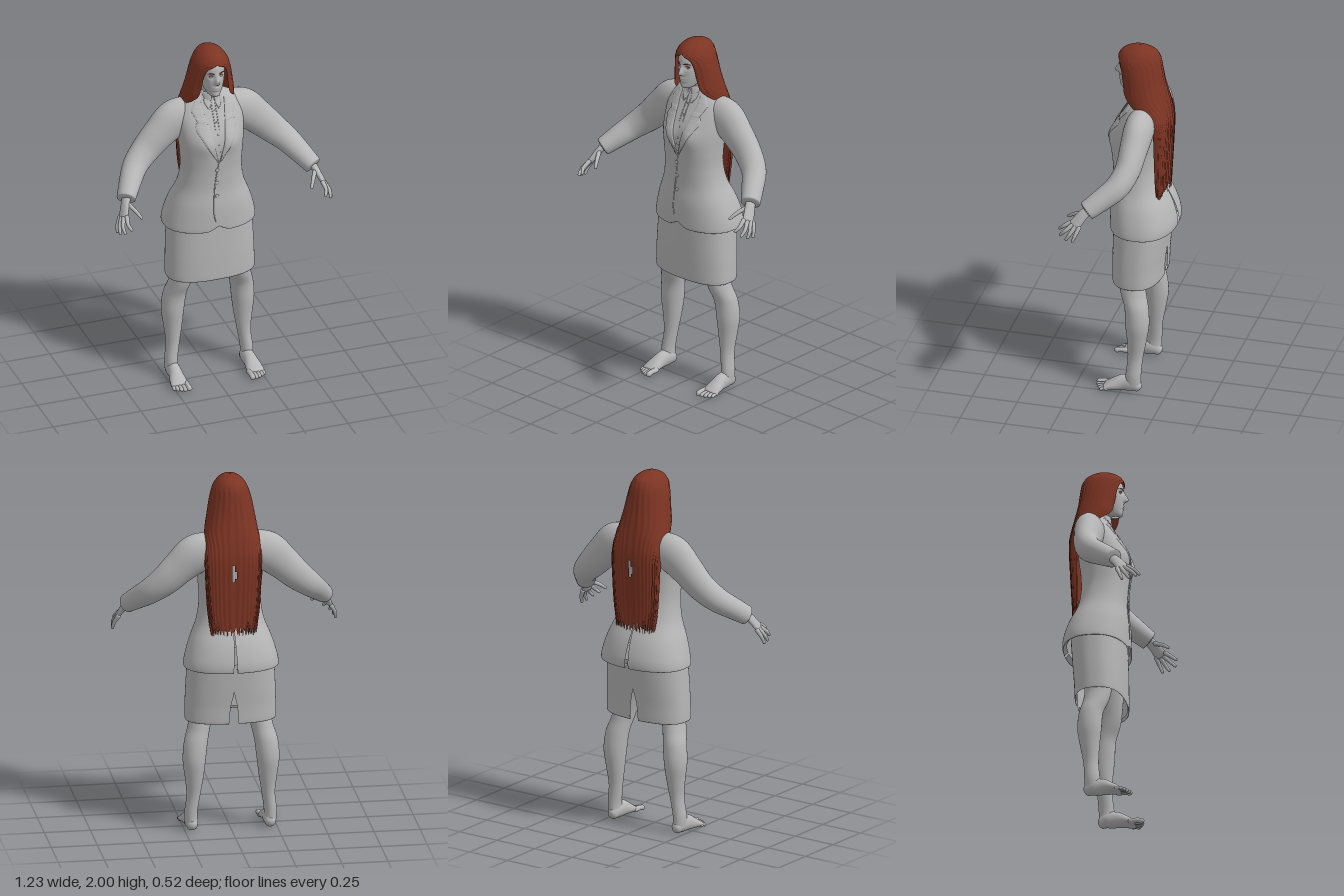
import * as THREE from 'three';
import { mergeVertices } from 'three/addons/utils/BufferGeometryUtils.js';

const V = (x, y, z) => new THREE.Vector3(x, y, z);
const gauss = (d, w) => Math.exp(-((d / w) ** 2));
const clamp = THREE.MathUtils.clamp;

const grey = new THREE.MeshStandardMaterial({ color: 0xb6b6b6, side: THREE.DoubleSide });
grey.name = 'plain grey';
const red = new THREE.MeshStandardMaterial({ color: 0x7d3423, side: THREE.DoubleSide });
red.name = 'auburn hair';

// Smooth surface through a grid of points
function grid(name, mat, rows, flip = false, skip = null) {
  const w = rows[0].length, index = [];
  for (let j = 0; j < rows.length - 1; j++) {
    for (let i = 0; i < w - 1; i++) {
      if (skip && skip(rows[j][i])) continue;
      const a = j * w + i, b = a + 1, c = a + w, d = c + 1;
      if (flip) index.push(a, c, b, b, c, d);
      else index.push(a, b, c, b, d, c);
    }
  }
  let g = new THREE.BufferGeometry().setFromPoints(rows.flat());
  g.setIndex(index);
  g = mergeVertices(g, 1e-5);
  g.computeVertexNormals();
  const mesh = new THREE.Mesh(g, mat);
  mesh.name = name;
  return mesh;
}

// Catmull-Rom blend of a table of section rows
function blend(rows, t) {
  const n = rows.length - 1, f = t * n, i = Math.min(Math.floor(f), n - 1), u = f - i;
  const at = k => rows[clamp(k, 0, n)];
  return rows[0].map((_, c) => {
    const [p, q, r, s] = [at(i - 1)[c], at(i)[c], at(i + 1)[c], at(i + 2)[c]];
    return q + 0.5 * u * (r - p + u * (2 * p - 5 * q + 4 * r - s + u * (3 * (q - r) + s - p)));
  });
}

// Stacked level sections: [y, centre x, half width, front z, back z, squareness, half gap at the seam]
function loft(name, mat, rows, { seg = 48, sub = 6, seam = -Math.PI / 2, warp = null, skip = null } = {}) {
  const steps = (rows.length - 1) * sub, rings = [];
  for (let j = 0; j <= steps; j++) {
    const [y, cx, rx, zf, zb, n, rawGap] = blend(rows, j / steps), gap = Math.max(0, rawGap), ring = [];
    for (let i = 0; i <= seg; i++) {
      const a = seam + gap + (2 * Math.PI - 2 * gap) * i / seg;
      const e = v => Math.sign(v) * Math.abs(v) ** (2 / n);
      const p = V(cx + rx * e(Math.cos(a)), y, (zf + zb) / 2 + (zf - zb) / 2 * e(Math.sin(a)));
      if (warp) warp(p, i);
      ring.push(p);
    }
    rings.push(ring);
  }
  return grid(name, mat, rings, true, skip);
}

// Round-ended limb along a path of [x, y, z, radius, second radius]
function limb(name, mat, pts, s = 1, { ref = [0, 0, 1], seg = 16, sub = 6, cap = 1 } = {}) {
  const full = pts.map(p => [p[0] * s, p[1], p[2], p[3], p[4] ?? p[3]]);
  const steps = (pts.length - 1) * sub, rings = [], R = V(ref[0] * s, ref[1], ref[2]);
  const add = (t, shift, k) => {
    const [x, y, z, r1, r2] = blend(full, t);
    const q0 = blend(full, Math.max(0, t - 0.01)), q1 = blend(full, Math.min(1, t + 0.01));
    const T = V(q1[0] - q0[0], q1[1] - q0[1], q1[2] - q0[2]).normalize();
    const N = T.clone().cross(R).normalize(), B = T.clone().cross(N);
    const c = V(x, y, z).addScaledVector(T, shift * Math.min(r1, r2) * cap), ring = [];
    for (let i = 0; i <= seg; i++) {
      const a = 2 * Math.PI * i / seg;
      ring.push(c.clone().addScaledVector(N, Math.cos(a) * r1 * k).addScaledVector(B, Math.sin(a) * r2 * k));
    }
    rings.push(ring);
  };
  for (let k = 4; k > 0; k--) add(0, -Math.sin(k * Math.PI / 8), Math.cos(k * Math.PI / 8));
  for (let j = 0; j <= steps; j++) add(j / steps, 0, 1);
  for (let k = 1; k <= 4; k++) add(1, Math.sin(k * Math.PI / 8), Math.cos(k * Math.PI / 8));
  return grid(name, mat, rings);
}

const jacketRows = [
  [0.955, 0, 0.235, 0.085, -0.235, 2.3, 0.025], [0.935, 0, 0.256, 0.1, -0.257, 2.3, 0.025],
  [0.99, 0, 0.249, 0.102, -0.257, 2.3, 0.02], [1.08, 0, 0.222, 0.1, -0.23, 2.3, 0.01],
  [1.18, 0, 0.183, 0.09, -0.182, 2.3, 0], [1.28, 0, 0.167, 0.092, -0.162, 2.3, 0],
  [1.38, 0, 0.171, 0.098, -0.163, 2.3, 0], [1.47, 0, 0.18, 0.093, -0.174, 2.3, 0],
  [1.55, 0, 0.185, 0.068, -0.182, 2.3, 0], [1.62, 0, 0.18, 0.03, -0.175, 2.3, 0],
  [1.68, 0, 0.14, -0.003, -0.15, 2.2, 0], [1.715, 0, 0.085, -0.018, -0.125, 2, 0],
  [1.74, 0, 0.055, -0.022, -0.11, 2, 0]];
const bust = (x, y) => 0.02 * gauss(Math.abs(x) - 0.075, 0.055) * gauss(y - 1.47, 0.07);

// Front surface of the jacket, for laying details on it
function frontZ(x, y) {
  let t = 0.1;
  while (t < 1 && blend(jacketRows, t)[0] < y) t += 0.004;
  const [, , rx, zf, zb, n] = blend(jacketRows, Math.min(t, 1));
  return (zf + zb) / 2 + (zf - zb) / 2 * (1 - Math.min(1, Math.abs(x) / rx) ** n) ** (1 / n) + bust(x, y);
}
// Flap lying on the jacket front: rows of [y, inner x, outer x]
function flap(name, rows, s) {
  const steps = 36, out = [];
  for (let j = 0; j <= steps; j++) {
    const f = j / steps * (rows.length - 1), i = Math.min(Math.floor(f), rows.length - 2);
    const [y, a, b] = rows[i].map((v, c) => THREE.MathUtils.lerp(v, rows[i + 1][c], f - i));
    out.push([0, 0.03, 0.25, 0.5, 0.75, 0.97, 1].map((k, m) => {
      const x = a + (b - a) * k;
      return V(x * s, y, frontZ(x, y) + (m === 0 || m === 6 ? -0.002 : 0.006));
    }));
  }
  return grid(name, grey, out, s < 0);
}
const seamLine = (name, pts, r) => limb(name, grey, pts.map(([x, y]) => [x, y, frontZ(x, y), r]), 1, { ref: [1, 0, 0], seg: 6 });

function face() {
  const g = new THREE.Group();
  g.name = 'head';
  const rows = [
    [1.734, 0, 0.012, 0.04, 0, 2, 0], [1.742, 0, 0.032, 0.055, -0.04, 2, 0], [1.775, 0, 0.05, 0.06, -0.08, 2.1, 0],
    [1.82, 0, 0.063, 0.064, -0.12, 2.2, 0], [1.87, 0, 0.068, 0.066, -0.14, 2.2, 0], [1.92, 0, 0.067, 0.06, -0.145, 2.1, 0],
    [1.96, 0, 0.05, 0.03, -0.12, 2, 0], [1.98, 0, 0.02, -0.02, -0.08, 2, 0]];
  const warp = p => {
    if (p.z < 0) return;
    const ny = p.y - 1.828, ax = Math.abs(p.x);
    p.z += 0.027 * gauss(p.x, 0.011) * (ny < 0 ? gauss(ny, 0.01) : gauss(ny, 0.036)); // nose
    p.z -= 0.01 * gauss(ax - 0.028, 0.014) * gauss(p.y - 1.866, 0.012);              // eye sockets
    p.z += 0.007 * gauss(p.x, 0.02) * (gauss(p.y - 1.797, 0.006) + gauss(p.y - 1.783, 0.006)); // lips
    p.z += 0.004 * gauss(p.x, 0.02) * gauss(p.y - 1.752, 0.012);                     // chin
  };
  g.add(loft('face', grey, rows, { seg: 96, sub: 9, warp }));
  g.add(limb('neck', grey, [[0, 1.66, -0.075, 0.052], [0, 1.72, -0.055, 0.046], [0, 1.79, -0.045, 0.047]], 1, { seg: 24 }));
  for (const s of [1, -1]) {
    const eye = new THREE.Mesh(new THREE.SphereGeometry(0.011, 16, 12), grey);
    eye.name = 'eye';
    eye.scale.set(1.1, 0.6, 0.6);
    eye.position.set(0.028 * s, 1.865, 0.05);
    g.add(eye);
    g.add(limb('lashes', red, [[0.015, 1.867, 0.054, 0.0015], [0.028, 1.873, 0.056, 0.002], [0.042, 1.867, 0.048, 0.0015]], s, { seg: 6 }));
    g.add(limb('eyebrow', red, [[0.012, 1.882, 0.064, 0.002], [0.03, 1.888, 0.06, 0.0025], [0.048, 1.884, 0.047, 0.001]], s, { seg: 6 }));
  }
  return g;
}

function hair() {
  const rows = [
    [1.15, 0, 0.122, -0.14, -0.203, 2.6, 1.5], [1.25, 0, 0.14, -0.13, -0.208, 2.6, 1.5],
    [1.4, 0, 0.15, -0.12, -0.216, 2.6, 1.5], [1.55, 0, 0.155, -0.1, -0.222, 2.6, 1.5],
    [1.64, 0, 0.152, -0.02, -0.212, 2.5, 1.35], [1.72, 0, 0.14, 0.035, -0.196, 2.3, 0.72],
    [1.79, 0, 0.128, 0.05, -0.182, 2.1, 0.62], [1.86, 0, 0.115, 0.063, -0.172, 2, 0.62],
    [1.91, 0, 0.101, 0.07, -0.165, 2, 0.5], [1.94, 0, 0.088, 0.067, -0.157, 2, 0],
    [1.97, 0, 0.066, 0.045, -0.137, 2, 0], [1.992, 0, 0.034, 0, -0.09, 2, 0], [2, 0, 0.002, -0.046, -0.05, 2, 0]];
  // Wavy strands and a ragged lower edge
  const warp = (p, i) => {
    if (p.y < 1.95) p.z += 0.002 * Math.sin(i * 1.3);
    const low = clamp((1.24 - p.y) / 0.09, 0, 1);
    p.y += low * 0.035 * Math.sin(i * 0.9) * Math.sin(i * 2.3 + 1);
  };
  const skip = p => p.z < -0.15 && Math.hypot((p.x + 0.002) / 0.012, (p.y - 1.47) / 0.05) < 1;
  return loft('hair', red, rows, { seg: 90, sub: 8, seam: Math.PI / 2, warp, skip });
}

function arm(s) {
  const g = new THREE.Group();
  g.name = s > 0 ? 'leftArm' : 'rightArm';
  g.add(limb('sleeve', grey, [
    [0.1, 1.595, -0.088, 0.09, 0.075], [0.19, 1.568, -0.088, 0.108, 0.08], [0.275, 1.498, -0.082, 0.094, 0.074],
    [0.355, 1.42, -0.072, 0.082, 0.068], [0.43, 1.352, -0.035, 0.07, 0.066], [0.485, 1.295, 0.035, 0.06, 0.06],
    [0.532, 1.243, 0.105, 0.05, 0.054]], s, { seg: 32, cap: 0.15 }));
  const across = [-0.025, 0.025, 0.055];
  g.add(limb('palm', grey, [[0.52, 1.26, 0.085, 0.024, 0.028], [0.545, 1.22, 0.125, 0.018, 0.03],
    [0.568, 1.168, 0.163, 0.014, 0.035]], s, { ref: across }));
  const fingers = [
    [[0.578, 1.158, 0.137], [0.598, 1.12, 0.152], [0.605, 1.085, 0.166]],
    [[0.577, 1.16, 0.158], [0.597, 1.122, 0.182], [0.6, 1.09, 0.202]],
    [[0.571, 1.166, 0.176], [0.588, 1.135, 0.21], [0.585, 1.107, 0.238]],
    [[0.558, 1.175, 0.19], [0.564, 1.15, 0.226], [0.552, 1.128, 0.25]],
    [[0.53, 1.222, 0.14], [0.504, 1.198, 0.185], [0.485, 1.172, 0.218]]];
  for (const f of fingers)
    g.add(limb('finger', grey, f.map((p, i) => [...p, [0.0125, 0.0105, 0.008][i]]), s, { ref: across, seg: 12 }));
  return g;
}

function leg(s) {
  const g = new THREE.Group();
  g.name = s > 0 ? 'leftLeg' : 'rightLeg';
  const rows = [
    [0.04, 0.214, 0.034, -0.02, -0.108], [0.1, 0.215, 0.035, -0.025, -0.11], [0.2, 0.203, 0.037, -0.034, -0.117],
    [0.3, 0.2, 0.05, -0.03, -0.135], [0.4, 0.2, 0.062, -0.02, -0.15], [0.5, 0.19, 0.064, -0.013, -0.143],
    [0.58, 0.17, 0.061, 0.015, -0.125], [0.66, 0.153, 0.066, 0.03, -0.12], [0.85, 0.122, 0.1, 0.05, -0.15]];
  g.add(loft('shin', grey, rows.map(([y, x, ...r]) => [y, x * s, ...r, 2, 0]), { seg: 28 }));
  g.add(limb('foot', grey, [
    [0.212, 0.031, -0.092, 0.029, 0.031], [0.212, 0.046, -0.06, 0.036, 0.046], [0.213, 0.045, -0.01, 0.036, 0.045],
    [0.216, 0.031, 0.04, 0.044, 0.031], [0.217, 0.017, 0.082, 0.049, 0.017]], s, { ref: [0, 1, 0], seg: 24, cap: 0.7 }));
  [[0.18, 0.13, 0.015], [0.203, 0.129, 0.011], [0.222, 0.122, 0.0105], [0.24, 0.112, 0.01], [0.256, 0.1, 0.0095]]
    .forEach(([x, z, r]) => g.add(limb('toe', grey, [[x, r + 0.004, 0.07, r], [x, r + 0.005, (0.08 + z) / 2, r * 0.9], [x, r, z, r]], s,
      { ref: [0, 1, 0], seg: 12 })));
  return g;
}

function outfit() {
  const g = new THREE.Group();
  g.name = 'suit';
  // Jacket with bust, rounded front hem and back vent
  const warp = p => {
    if (p.z < 0) return;
    p.z += bust(p.x, p.y);
    p.y += 0.03 * gauss(p.x, 0.035) * clamp((1.02 - p.y) / 0.08, 0, 1);
  };
  g.add(loft('jacket', grey, jacketRows, { seg: 72, sub: 8, warp }));
  // Skirt with back slit
  g.add(loft('skirt', grey, [
    [0.645, 0, 0.237, 0.074, -0.18, 2.5, 0.06], [0.63, 0, 0.246, 0.083, -0.189, 2.5, 0.06], [0.72, 0, 0.245, 0.084, -0.193, 2.5, 0.04],
    [0.81, 0, 0.242, 0.083, -0.2, 2.5, 0], [0.97, 0, 0.234, 0.08, -0.212, 2.4, 0]], { seg: 64 }));
  for (const s of [1, -1]) {
    g.add(flap('lapel', [[1.36, 0.003, 0.008], [1.45, 0.025, 0.062], [1.555, 0.045, 0.118], [1.585, 0.05, 0.108]], s));
    g.add(flap('jacketCollar', [[1.586, 0.05, 0.1], [1.645, 0.062, 0.125], [1.69, 0.066, 0.095]], s));
    g.add(flap('shirtCollar', [[1.645, 0.025, 0.03], [1.67, 0.013, 0.045], [1.7, 0.006, 0.052]], s));
    g.add(seamLine('shirtPlacket', [[0.011 * s, 1.68], [0.011 * s, 1.55], [0.009 * s, 1.42]], 0.002));
  }
  g.add(loft('collarBand', grey, [[1.69, 0, 0.062, 0.004, -0.125, 2, 0.15], [1.725, 0, 0.056, -0.002, -0.112, 2, 0.12],
    [1.735, 0, 0.05, -0.008, -0.104, 2, 0.12]], { seam: Math.PI / 2 }));
  g.add(seamLine('jacketEdge', [[0, 1.36], [-0.02, 1.22], [-0.03, 1.06], [-0.02, 1.0]], 0.003));
  const button = (name, x, y, r) => {
    const m = new THREE.Mesh(new THREE.SphereGeometry(r, 12, 8), grey);
    m.name = name;
    m.scale.z = 0.5;
    m.position.set(x, y, frontZ(x, y) + 0.002);
    g.add(m);
  };
  for (const y of [1.31, 1.23, 1.15]) button('jacketButton', -0.01, y, 0.01);
  for (const y of [1.64, 1.58, 1.52, 1.46]) button('shirtButton', 0, y, 0.005);
  return g;
}

export function createModel() {
  const model = new THREE.Group();
  model.name = 'womanInSuit';
  model.add(outfit(), face(), hair());
  for (const s of [1, -1]) model.add(arm(s), leg(s));
  return model;
}
